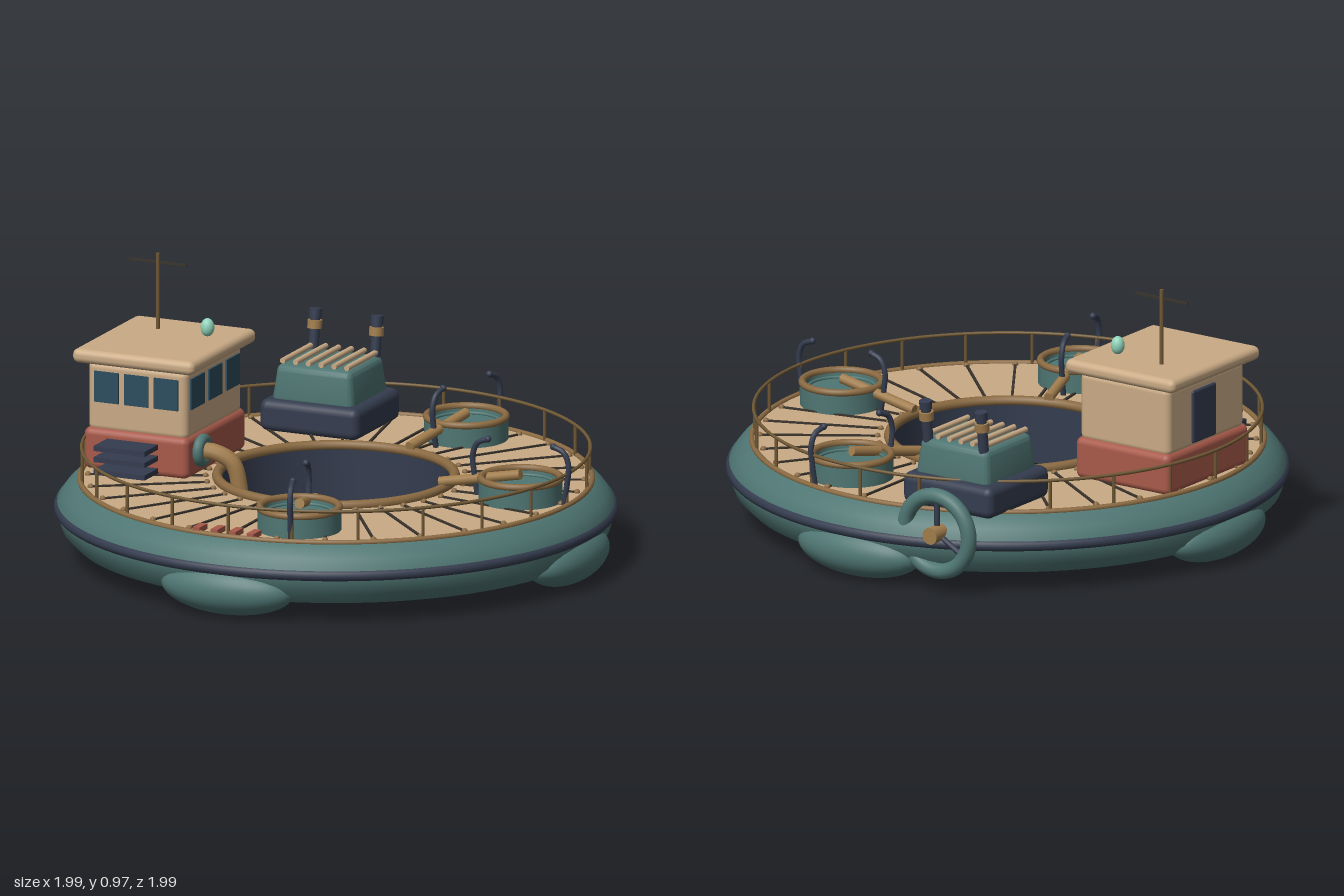
import * as THREE from 'three';
import { toCreasedNormals } from 'three/addons/utils/BufferGeometryUtils.js';
import { RoundedBoxGeometry } from 'three/addons/geometries/RoundedBoxGeometry.js';

const mat = (color) => new THREE.MeshStandardMaterial({ color });
const TEAL = mat(0x4f7673), TAN = mat(0xcaab86), BROWN = mat(0x8a6a42), NAVY = mat(0x343c4e),
  RED = mat(0xa85a4a), GLASS = mat(0x2c4c5e), HOSE = mat(0xa07c4c), RAIL = mat(0x6f5835),
  SEAM = mat(0x39332c), MINT = mat(0x8fd3b9);
const V = (x, y, z) => new THREE.Vector3(x, y, z);

function add(parent, name, geo, material, x = 0, y = 0, z = 0) {
  const m = new THREE.Mesh(geo, material);
  m.name = name;
  m.position.set(x, y, z);
  parent.add(m);
  return m;
}
function group(parent, name, x = 0, y = 0, z = 0) {
  const g = new THREE.Group();
  g.name = name;
  g.position.set(x, y, z);
  parent.add(g);
  return g;
}
const lathe = (pts, seg = 96) => toCreasedNormals(
  new THREE.LatheGeometry(pts.map(([r, y]) => new THREE.Vector2(r, y)), seg), 0.6);
const rbox = (w, h, d, r = 0.02) => new RoundedBoxGeometry(w, h, d, 3, r);
const box = (w, h, d) => new THREE.BoxGeometry(w, h, d);
const cyl = (r, h, seg = 20) => new THREE.CylinderGeometry(r, r, h, seg);
const tube = (pts, r, seg = 24) =>
  new THREE.TubeGeometry(new THREE.CatmullRomCurve3(pts), seg, r, 10);
// Horizontal ring
const ring = (r, t, seg = 96) => new THREE.TorusGeometry(r, t, 10, seg).rotateX(Math.PI / 2);
// Straight rod between two points
function rod(parent, name, a, b, r, material) {
  const m = add(parent, name, cyl(r, a.distanceTo(b), 12), material);
  m.position.copy(a).lerp(b, 0.5);
  m.quaternion.setFromUnitVectors(V(0, 1, 0), b.clone().sub(a).normalize());
  return m;
}

function buildHull(root) {
  const g = group(root, 'hull');
  add(g, 'hullShell', lathe([[0.4, 0.07], [0.91, 0.07], [0.95, 0.11], [0.97, 0.17], [0.966, 0.2],
    [0.94, 0.235], [0.9, 0.275], [0.885, 0.28]]), TEAL);
  add(g, 'innerWall', lathe([[0.4, 0.285], [0.4, 0.07]]), NAVY);
  add(g, 'deck', lathe([[0.89, 0.28], [0.4, 0.28]]), TAN);
  add(g, 'rubberBand', ring(0.957, 0.021), NAVY, 0, 0.18);
  add(g, 'innerTrim', ring(0.412, 0.018), BROWN, 0, 0.288);
  add(g, 'outerTrim', ring(0.888, 0.01), BROWN, 0, 0.28);
  // Four pontoons under the rim
  for (let i = 0; i < 4; i++) {
    const a = i * Math.PI / 2;
    const p = add(g, 'pontoon', new THREE.SphereGeometry(1, 36, 24), TEAL,
      Math.cos(a) * 0.885, 0.1, Math.sin(a) * 0.885);
    p.scale.set(0.112, 0.095, 0.25);
    p.rotation.y = -a;
  }
  // Radial deck seams with a stud at each end
  for (let i = 0; i < 32; i++) {
    const s = group(g, 'deckSeam', 0, 0.282, 0);
    s.rotation.y = i * Math.PI / 16;
    add(s, 'seam', box(0.41, 0.008, 0.009), SEAM, 0.655);
    for (const r of [0.452, 0.86]) add(s, 'stud', new THREE.SphereGeometry(0.011, 10, 8), BROWN, r);
  }
  // Railing
  const rail = group(root, 'railing');
  add(rail, 'handRail', ring(0.882, 0.006), RAIL, 0, 0.39);
  for (let i = 0; i < 24; i++) {
    const a = i * Math.PI / 12;
    add(rail, 'railPost', cyl(0.006, 0.12, 8), RAIL, Math.cos(a) * 0.882, 0.332, Math.sin(a) * 0.882);
  }
  // Red blocks on the front deck edge
  for (let i = 0; i < 4; i++) add(root, 'deckBlock', box(0.027, 0.025, 0.065), RED, -0.122 + i * 0.069, 0.287, 0.853);
}

function buildCabin(root) {
  const g = group(root, 'cabin', -0.655, 0, 0);
  add(g, 'cabinBase', rbox(0.4, 0.15, 0.49, 0.025), RED, 0, 0.35, 0);
  add(g, 'cabinWalls', rbox(0.38, 0.25, 0.46, 0.025), TAN, 0, 0.535, 0);
  add(g, 'roof', rbox(0.465, 0.05, 0.53, 0.022), TAN, -0.002, 0.68, 0);
  for (const i of [-1, 0, 1]) {
    add(g, 'frontWindow', box(0.092, 0.11, 0.012), GLASS, i * 0.114, 0.573, 0.23);
    add(g, 'sideWindow', box(0.012, 0.11, 0.107), GLASS, 0.19, 0.573, i * 0.145);
  }
  add(g, 'door', rbox(0.02, 0.19, 0.14, 0.008), NAVY, -0.188, 0.525, -0.02);
  // Boarding steps
  for (const y of [0.3, 0.345, 0.385]) add(g, 'step', box(0.195, 0.018, 0.12), NAVY, -0.008, y, 0.297);
  // Mast and lamp on the roof
  add(g, 'mast', cyl(0.007, 0.28), RAIL, -0.08, 0.835, -0.115);
  add(g, 'mastCrossbar', box(0.22, 0.008, 0.008), SEAM, -0.08, 0.943, -0.115);
  add(g, 'lamp', new THREE.SphereGeometry(0.024, 20, 16), MINT, 0.117, 0.735, -0.1).scale.y = 1.35;
}

function buildHose(root) {
  const g = group(root, 'suctionHose');
  add(g, 'hose', tube([V(-0.47, 0.365, 0.16), V(-0.39, 0.365, 0.155), V(-0.33, 0.33, 0.142),
    V(-0.307, 0.25, 0.135), V(-0.307, 0.12, 0.135), V(-0.307, 0.004, 0.135)], 0.03, 40), HOSE);
  const collar = add(g, 'hoseCollar', new THREE.TorusGeometry(0.04, 0.019, 12, 28), TEAL, -0.435, 0.368, 0.16);
  collar.rotation.y = Math.PI / 2;
  add(g, 'hoseFlange', ring(0.055, 0.012, 32), NAVY, -0.307, 0.037, 0.135);
  add(g, 'hoseMouth', cyl(0.029, 0.006), NAVY, -0.307, 0.005, 0.135);
}

function buildEngine(root) {
  const g = group(root, 'engineHouse', -0.33, 0, -0.655);
  add(g, 'engineBase', rbox(0.38, 0.115, 0.365, 0.03), NAVY, 0, 0.333, 0);
  // Housing narrows towards the top
  const body = rbox(0.31, 0.14, 0.3, 0.025);
  const p = body.attributes.position;
  for (let i = 0; i < p.count; i++) {
    const k = p.getY(i) > 0.03 ? 0.93 : 1;
    p.setXYZ(i, p.getX(i) * k, p.getY(i), p.getZ(i) * k);
  }
  add(g, 'engineHousing', toCreasedNormals(body, 0.6), TEAL, 0, 0.44, 0);
  for (let i = 0; i < 6; i++) {
    const x = -0.122 + i * 0.049;
    rod(g, 'coolingBar', V(x, 0.522, -0.125), V(x, 0.522, 0.125), 0.01, TAN);
  }
  // Twin exhausts leaning back
  for (const x of [-0.118, 0.118]) {
    const e = group(g, 'exhaust', x, 0.49, -0.118);
    e.rotation.x = -0.12;
    add(e, 'exhaustPipe', cyl(0.018, 0.16), NAVY, 0, 0.08, 0);
    add(e, 'exhaustBand', cyl(0.026, 0.03), HOSE, 0, 0.105, 0);
    add(e, 'exhaustCap', cyl(0.022, 0.03), NAVY, 0, 0.145, 0);
  }
}

function buildWheel(root) {
  const g = group(root, 'sternWheel', -0.335, 0.215, -0.895);
  add(g, 'wheelRim', new THREE.TorusGeometry(0.135, 0.028, 14, 48), TEAL);
  add(g, 'wheelHub', cyl(0.03, 0.07).rotateX(Math.PI / 2), HOSE, 0, 0, -0.01);
  for (let i = 0; i < 3; i++) {
    const a = Math.PI / 2 + i * Math.PI * 2 / 3;
    rod(g, 'wheelSpoke', V(0, 0, 0), V(Math.cos(a) * 0.13, Math.sin(a) * 0.13, 0), 0.01, NAVY);
  }
}

// Round basin, built along +x, with a spout to the centre and two hooks
function buildBasin(root, angle) {
  const g = group(root, 'basin');
  g.rotation.y = angle;
  const b = group(g, 'basinBody', 0.706, 0, 0);
  add(b, 'basinWall', lathe([[0.146, 0.27], [0.146, 0.36], [0.128, 0.36], [0.125, 0.335], [0, 0.335]], 48), TEAL);
  add(b, 'basinRim', ring(0.138, 0.013, 48), BROWN, 0, 0.358, 0);
  add(b, 'basinInnerRing', ring(0.118, 0.006, 48), TEAL, 0, 0.338, 0);
  rod(b, 'spout', V(0, 0.37, 0), V(-0.308, 0.31, 0), 0.018, HOSE);
  for (const s of [-1, 1]) {
    add(b, 'hook', tube([V(s * 0.165, 0.28, 0), V(s * 0.178, 0.36, 0), V(s * 0.183, 0.42, 0),
      V(s * 0.165, 0.465, 0), V(s * 0.125, 0.483, 0)], 0.01), NAVY);
    add(b, 'hookTip', new THREE.SphereGeometry(0.012, 10, 8), NAVY, s * 0.125, 0.483, 0);
  }
}

export function createModel() {
  const root = new THREE.Group();
  root.name = 'ringBarge';
  buildHull(root);
  buildCabin(root);
  buildHose(root);
  buildEngine(root);
  buildWheel(root);
  for (const deg of [-75.3, 0, 75.3]) buildBasin(root, deg * Math.PI / 180);
  return root;
}
